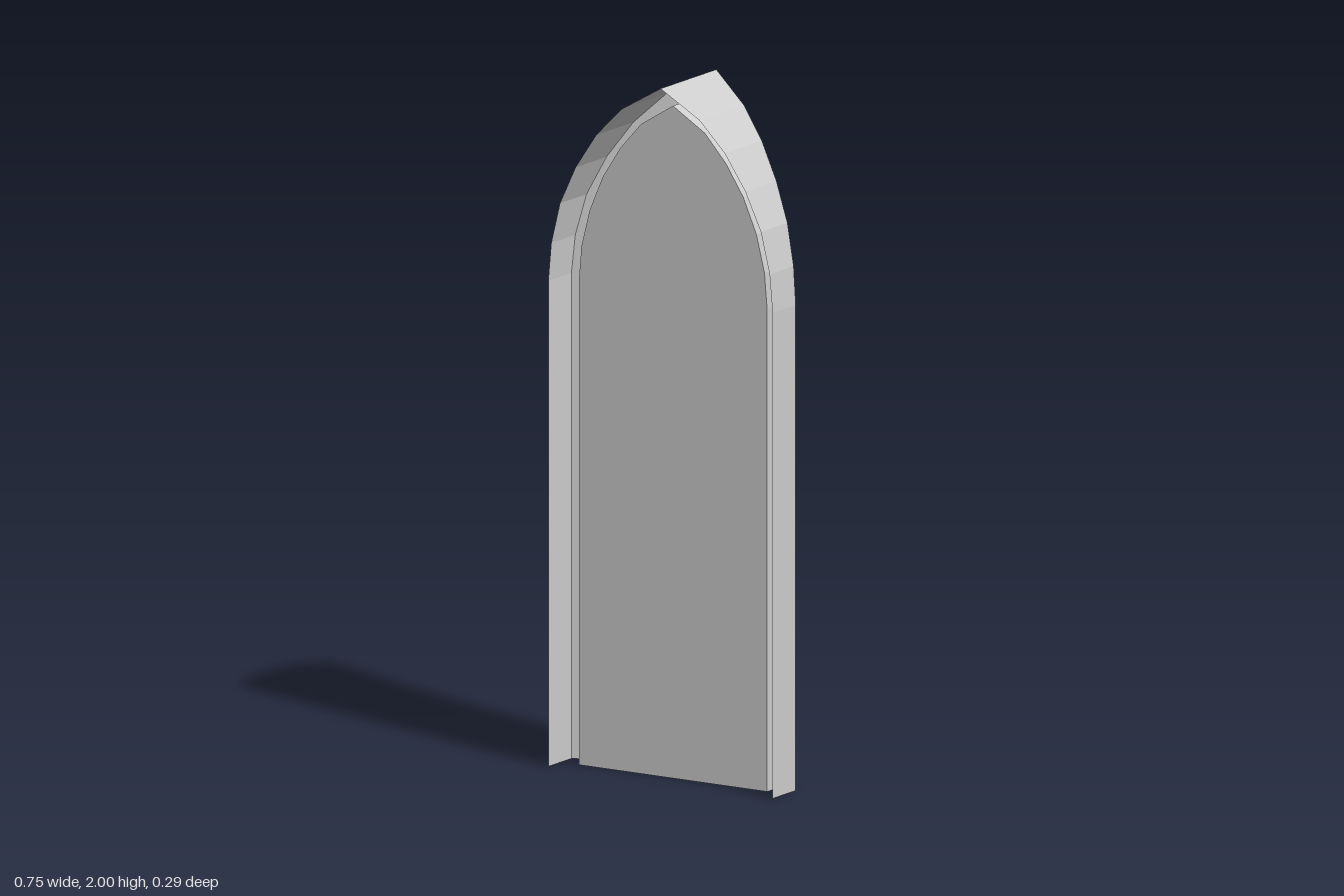
import * as THREE from 'three';

const stone = new THREE.MeshStandardMaterial({ color: 0xcccccc, side: THREE.DoubleSide, flatShading: true });
stone.name = 'light grey';

const FRONT_Z = 0.145;
const PANEL_Z = 0.08;
// The back of the frame folds along its centre line
const backZ = (x) => -0.145 + 0.453 * Math.abs(x);

// Right half of each pointed arch, from the foot up to the apex
const outerHalf = [[0.375, 0], [0.375, 1.4], [0.365, 1.51], [0.336, 1.628], [0.284, 1.738], [0.215, 1.84], [0.13, 1.925], [0, 2]];
const innerHalf = [[0.315, 0], [0.315, 1.39], [0.306, 1.495], [0.279, 1.602], [0.235, 1.704], [0.176, 1.795], [0.107, 1.872], [0, 1.938]];

// Full arch running from the right foot over the apex to the left foot
const mirrored = (half) => [...half, ...half.slice(0, -1).reverse().map(([x, y]) => [-x, y])];
const outer = mirrored(outerHalf);
const inner = mirrored(innerHalf);

const at = (path, depth) => path.map(([x, y]) => [x, y, depth(x)]);

// Faceted band of quads between two matching paths
function band(name, a, b) {
  const p = [];
  for (let i = 0; i < a.length - 1; i++) {
    p.push(...a[i], ...b[i], ...a[i + 1], ...b[i], ...b[i + 1], ...a[i + 1]);
  }
  const geometry = new THREE.BufferGeometry();
  geometry.setAttribute('position', new THREE.Float32BufferAttribute(p, 3));
  geometry.computeVertexNormals();
  const mesh = new THREE.Mesh(geometry, stone);
  mesh.name = name;
  return mesh;
}

export function createModel() {
  const group = new THREE.Group();
  group.name = 'archedWindow';

  const outerFront = at(outer, () => FRONT_Z);
  const outerBack = at(outer, backZ);
  const innerBack = at(inner, backZ);
  const innerFront = at(inner, () => PANEL_Z);

  // Outer wall, folded back rim and inner reveal
  group.add(band('outerFrame', outerFront, outerBack));
  group.add(band('backRim', outerBack, innerBack));
  group.add(band('innerReveal', innerBack, innerFront));

  // Flat panel closing the inner arch
  const shape = new THREE.Shape(inner.map(([x, y]) => new THREE.Vector2(x, y)));
  const panel = new THREE.Mesh(new THREE.ShapeGeometry(shape), stone);
  panel.position.z = PANEL_Z;
  panel.name = 'panel';
  group.add(panel);

  return group;
}
